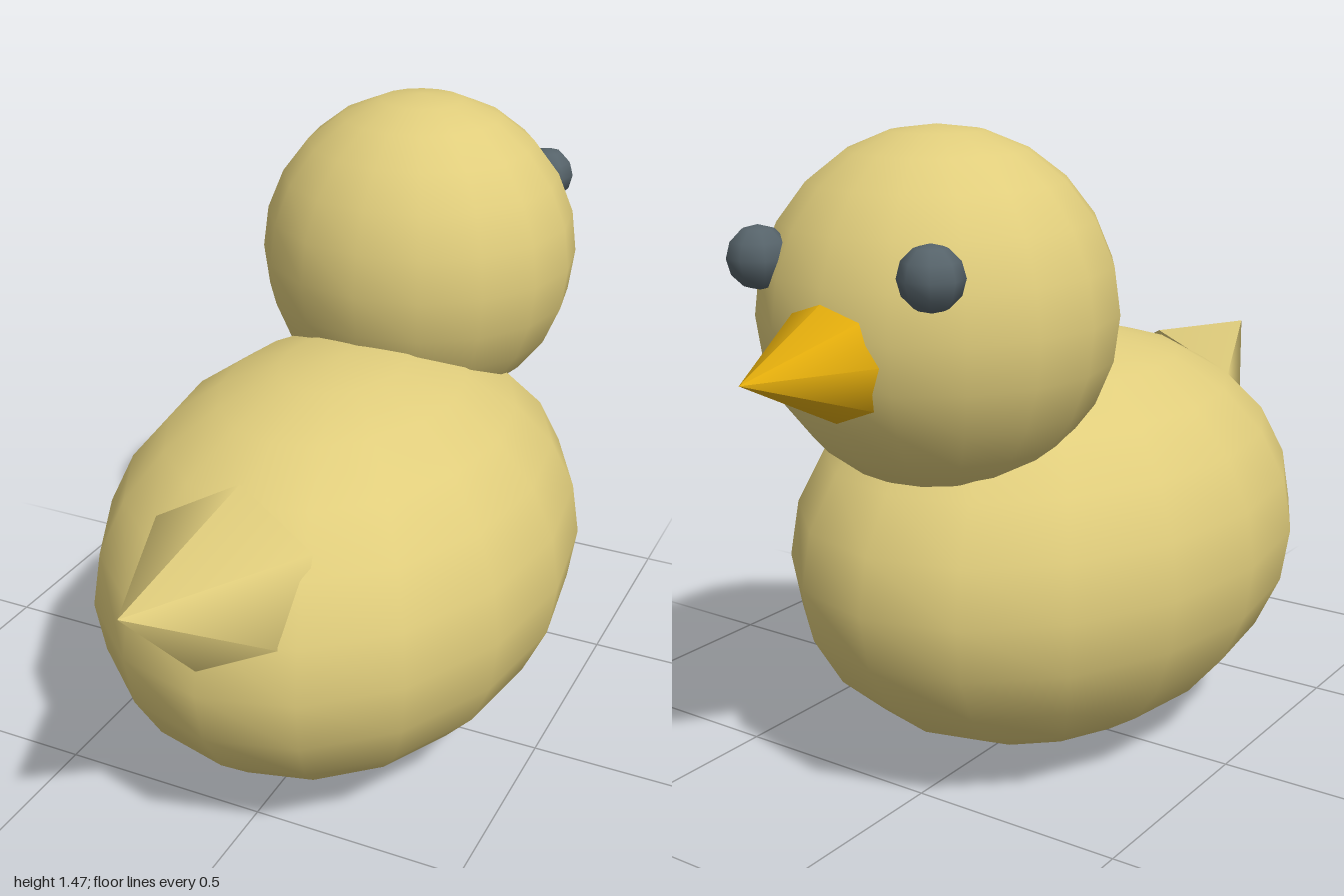
import * as THREE from 'three';

export function createModel() {
  const model = new THREE.Group();
  model.name = 'duckling';

  const material = (name, color) => {
    const m = new THREE.MeshStandardMaterial({ color });
    m.name = name;
    return m;
  };
  const yellow = material('paleYellow', 0xe0cd7c);
  const orange = material('orange', 0xe2ac0c);
  const grey = material('slateGrey', 0x56636a);

  const add = (name, geometry, mat, x, y, z) => {
    const mesh = new THREE.Mesh(geometry, mat);
    mesh.name = name;
    mesh.position.set(x, y, z);
    model.add(mesh);
    return mesh;
  };

  // Egg-shaped body and round head
  const body = add('body', new THREE.SphereGeometry(1, 16, 12), yellow, 0, 0.483, 0.03);
  body.scale.set(0.538, 0.483, 0.72);
  add('head', new THREE.SphereGeometry(0.383, 16, 12), yellow, 0, 1.084, -0.4);

  // Six-sided tail, tipped upwards
  const tail = add('tail', new THREE.ConeGeometry(0.213, 0.423, 6), yellow, 0, 0.743, 0.801);
  tail.rotation.x = THREE.MathUtils.degToRad(70);

  // Eight-sided beak pointing straight ahead
  const beak = add('beak', new THREE.ConeGeometry(0.15, 0.3, 8), orange, 0, 1.04, -0.85);
  beak.rotation.x = -Math.PI / 2;

  // Eyes, set on the surface of the head and turned outwards
  for (const side of [-1, 1]) {
    const name = side > 0 ? 'eyeOnPositiveX' : 'eyeOnNegativeX';
    const eye = add(name, new THREE.SphereGeometry(0.066, 8, 6), grey, side * 0.217, 1.215, -0.707);
    eye.rotation.y = side * -0.62;
  }

  return model;
}
